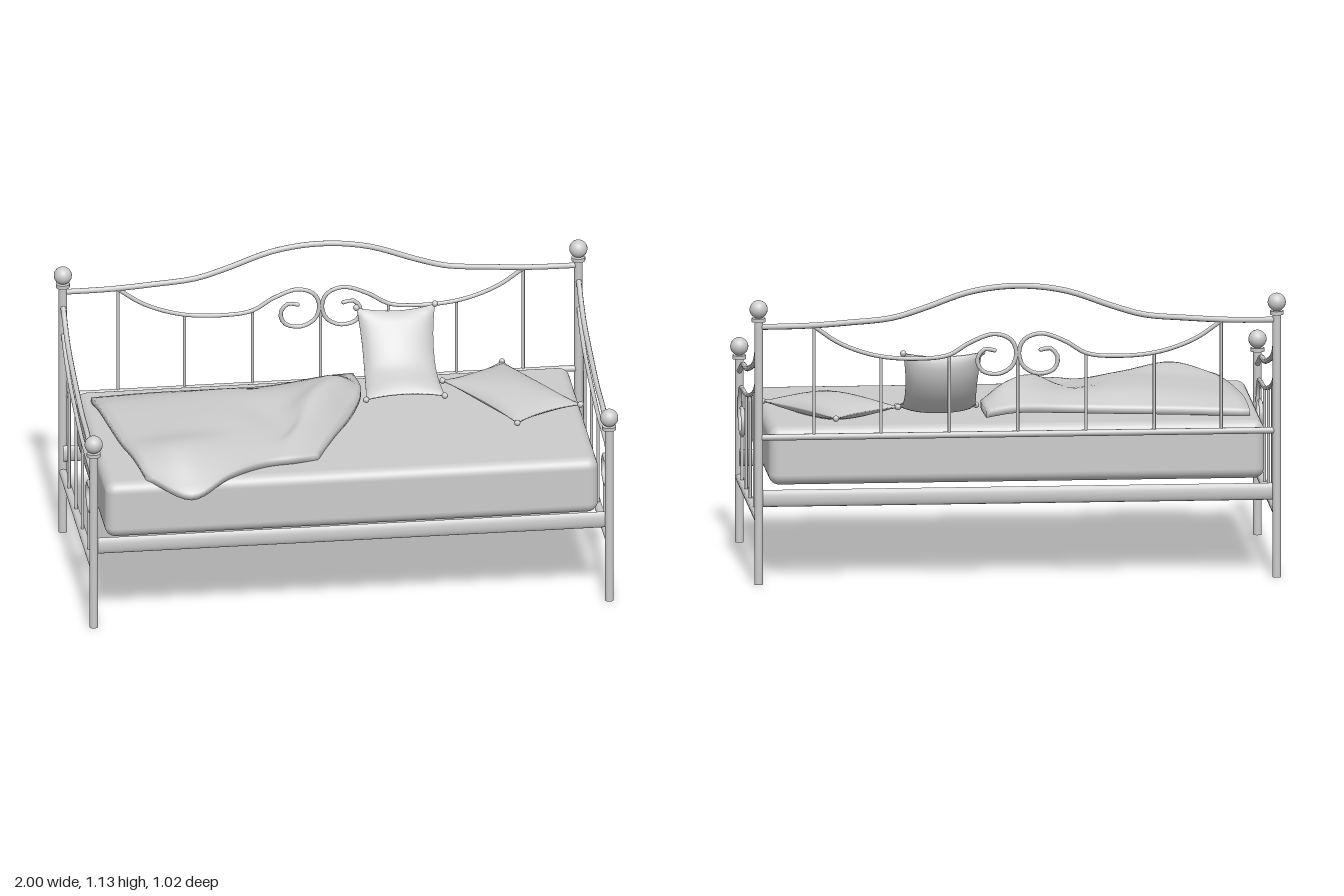
import * as THREE from 'three';
import { RoundedBoxGeometry } from 'three/addons/geometries/RoundedBoxGeometry.js';

const V = (x, y, z) => new THREE.Vector3(x, y, z);
const material = new THREE.MeshStandardMaterial({ color: 0xcccccc, side: THREE.DoubleSide });

function add(parent, name, geometry, x = 0, y = 0, z = 0) {
  const mesh = new THREE.Mesh(geometry, material);
  mesh.name = name;
  mesh.position.set(x, y, z);
  parent.add(mesh);
  return mesh;
}

// Straight round bar between two points
function bar(parent, name, a, b, r, sides = 10) {
  const d = b.clone().sub(a);
  const mesh = add(parent, name, new THREE.CylinderGeometry(r, r, d.length(), sides));
  mesh.position.copy(a).add(b).multiplyScalar(0.5);
  mesh.quaternion.setFromUnitVectors(V(0, 1, 0), d.normalize());
}

// Bent round bar through points, with rounded tip at its first point
function bentBar(parent, name, points, r) {
  const curve = new THREE.CatmullRomCurve3(points);
  add(parent, name, new THREE.TubeGeometry(curve, points.length * 4, r, 8));
  add(parent, name + 'Tip', new THREE.SphereGeometry(r, 8, 6), ...points[0].toArray());
}

// Closed skin from two (n+1) x (m+1) sheets given by f(u, v, side), side = +1 top, -1 bottom
function shell(n, m, f) {
  const pos = [], idx = [], count = (n + 1) * (m + 1);
  for (const side of [1, -1])
    for (let j = 0; j <= m; j++)
      for (let i = 0; i <= n; i++) pos.push(...f(i / n, j / m, side).toArray());
  const at = (i, j, s) => s * count + j * (n + 1) + i;
  const quad = (a, b, c, d) => idx.push(a, b, c, a, c, d);
  for (let j = 0; j < m; j++)
    for (let i = 0; i < n; i++) {
      quad(at(i, j, 0), at(i, j + 1, 0), at(i + 1, j + 1, 0), at(i + 1, j, 0));
      quad(at(i, j, 1), at(i + 1, j, 1), at(i + 1, j + 1, 1), at(i, j + 1, 1));
    }
  for (let i = 0; i < n; i++) {
    quad(at(i, 0, 0), at(i + 1, 0, 0), at(i + 1, 0, 1), at(i, 0, 1));
    quad(at(i + 1, m, 0), at(i, m, 0), at(i, m, 1), at(i + 1, m, 1));
  }
  for (let j = 0; j < m; j++) {
    quad(at(0, j + 1, 0), at(0, j, 0), at(0, j, 1), at(0, j + 1, 1));
    quad(at(n, j, 0), at(n, j + 1, 0), at(n, j + 1, 1), at(n, j, 1));
  }
  const g = new THREE.BufferGeometry();
  g.setAttribute('position', new THREE.Float32BufferAttribute(pos, 3));
  g.setIndex(idx);
  g.computeVertexNormals();
  return g;
}

// Cushion puffed around a centre sheet, with drawn-in sides and corner tufts
function cushion(parent, name, sheet, half) {
  const group = new THREE.Group();
  group.name = name;
  parent.add(group);
  const e = 0.01;
  add(group, name + 'Cover', shell(16, 16, (u, v, side) => {
    const a = 2 * u - 1, b = 2 * v - 1;
    const s = 0.5 + 0.5 * a * (1 - 0.1 * (1 - b * b));
    const t = 0.5 + 0.5 * b * (1 - 0.1 * (1 - a * a));
    const du = sheet(s + e, t).sub(sheet(s - e, t));
    const dv = sheet(s, t + e).sub(sheet(s, t - e));
    const puff = half * Math.pow((1 - a * a) * (1 - b * b), 0.6) + 0.003;
    return sheet(s, t).addScaledVector(dv.cross(du).normalize(), side * puff);
  }));
  for (const u of [0, 1])
    for (const v of [0, 1])
      add(group, name + 'Tuft', new THREE.SphereGeometry(0.012, 8, 6), ...sheet(u, v).toArray());
}

export function createModel() {
  const model = new THREE.Group();
  const PX = 0.967, BZ = -0.48, FZ = 0.41;

  // Posts with collars and ball finials
  for (const x of [-PX, PX])
    for (const [z, h] of [[BZ, 1.0], [FZ, 0.7]]) {
      const post = new THREE.Group();
      post.name = z < 0 ? 'backPost' : 'frontPost';
      post.position.set(x, 0, z);
      model.add(post);
      add(post, 'postShaft', new THREE.CylinderGeometry(0.016, 0.016, h, 16), 0, h / 2, 0);
      add(post, 'postCollar', new THREE.CylinderGeometry(0.026, 0.026, 0.014, 16), 0, h, 0);
      add(post, 'postBall', new THREE.SphereGeometry(0.034, 20, 14), 0, h + 0.04, 0);
    }

  // Long bed rails, oval in section
  for (const [name, z] of [['frontRail', 0.395], ['backRail', -0.466]]) {
    const rail = add(model, name, new THREE.CylinderGeometry(0.032, 0.032, 2 * PX, 16), 0, 0.322, z);
    rail.rotation.z = Math.PI / 2;
    rail.scale.z = 0.4;
  }

  // Backrest: arch, lower rail, spindles and scrolls
  const back = new THREE.Group();
  back.name = 'backrest';
  model.add(back);
  const half = [[-0.96, 0.973], [-0.79, 0.975], [-0.63, 0.985], [-0.47, 1.0], [-0.36, 1.032], [-0.176, 1.095]];
  bentBar(back, 'backArch', [...half, [0, 1.115], ...half.slice().reverse().map(([x, y]) => [-x, y])]
    .map(([x, y]) => V(x, y, BZ)), 0.011);
  bar(back, 'backLowerRail', V(-PX, 0.555, BZ), V(PX, 0.555, BZ), 0.012);
  const scroll = [[0.086, 0.872], [0.123, 0.877], [0.15, 0.842], [0.134, 0.797], [0.072, 0.783], [0.02, 0.813],
    [0.005, 0.866], [0.025, 0.912], [0.086, 0.934], [0.176, 0.904], [0.257, 0.857], [0.36, 0.845],
    [0.52, 0.857], [0.66, 0.905], [0.76, 0.972]];
  bar(back, 'backSpindle', V(0, 0.555, BZ), V(0, 0.87, BZ), 0.006, 8);
  for (const s of [-1, 1]) {
    bentBar(back, 'backScroll', scroll.map(([x, y]) => V(s * x, y, BZ)), 0.008);
    for (const [x, top] of [[0.255, 0.857], [0.51, 0.857], [0.76, 0.972]])
      bar(back, 'backSpindle', V(s * x, 0.555, BZ), V(s * x, top, BZ), 0.006, 8);
  }

  // Arm sides: swooping top rail, scrolled rail, bottom rail and spindles
  const armTop = [[0.41, 0.645], [0.242, 0.702], [0.078, 0.716], [-0.1, 0.752], [-0.34, 0.822], [-0.475, 0.918]];
  const armScroll = [[0.307, 0.525], [0.262, 0.526], [0.235, 0.487], [0.248, 0.444], [0.295, 0.426], [0.361, 0.45],
    [0.388, 0.5], [0.382, 0.552], [0.348, 0.594], [0.257, 0.606], [0.087, 0.615], [-0.1, 0.648],
    [-0.293, 0.698], [-0.4, 0.75], [-0.475, 0.81]];
  for (const s of [-1, 1]) {
    const arm = new THREE.Group();
    arm.name = s > 0 ? 'leftArm' : 'rightArm';
    model.add(arm);
    const x = s * PX;
    bentBar(arm, 'armTopRail', armTop.map(([z, y]) => V(x, y, z)), 0.01);
    bentBar(arm, 'armScroll', armScroll.map(([z, y]) => V(x, y, z)), 0.008);
    bar(arm, 'armBottomRail', V(x, 0.245, FZ), V(x, 0.245, BZ), 0.015, 12);
    for (const [z, top] of [[0.278, 0.426], [0.087, 0.615], [-0.1, 0.648], [-0.293, 0.698]])
      bar(arm, 'armSpindle', V(x, 0.245, z), V(x, top, z), 0.006, 8);
  }

  // Mattress
  add(model, 'mattress', new RoundedBoxGeometry(1.85, 0.22, 0.895, 4, 0.04), 0, 0.475, -0.005);

  // Blanket: rows run from the back edge to the front, the right columns forming the turned-back fold
  const rows = [
    [[-0.88, 0.605, -0.33], [-0.65, 0.615, -0.325], [-0.4, 0.62, -0.315], [-0.21, 0.625, -0.31], [0, 0.635, -0.35], [0.11, 0.625, -0.385]],
    [[-0.87, 0.63, -0.2], [-0.65, 0.65, -0.2], [-0.4, 0.665, -0.2], [-0.18, 0.66, -0.18], [0.03, 0.69, -0.22], [0.115, 0.635, -0.2]],
    [[-0.85, 0.635, -0.02], [-0.62, 0.66, 0], [-0.4, 0.67, 0], [-0.22, 0.645, 0], [-0.05, 0.705, -0.08], [0.06, 0.61, -0.06]],
    [[-0.83, 0.635, 0.13], [-0.62, 0.66, 0.15], [-0.4, 0.66, 0.15], [-0.21, 0.635, 0.13], [-0.13, 0.665, 0.09], [-0.02, 0.605, 0.1]],
    [[-0.8, 0.635, 0.28], [-0.64, 0.675, 0.32], [-0.45, 0.65, 0.28], [-0.27, 0.63, 0.24], [-0.18, 0.64, 0.22], [-0.07, 0.605, 0.21]],
    [[-0.77, 0.61, 0.41], [-0.61, 0.56, 0.505], [-0.46, 0.605, 0.43], [-0.315, 0.61, 0.35], [-0.2, 0.61, 0.33], [-0.11, 0.605, 0.305]],
  ].map(r => new THREE.CatmullRomCurve3(r.map(p => V(...p))));
  add(model, 'blanket', shell(30, 30, (u, v, side) => {
    const p = new THREE.CatmullRomCurve3(rows.map(r => r.getPoint(u))).getPoint(v);
    if (side < 0) p.y -= 0.025;
    return p;
  }));

  // Cushion leaning on the backrest, slumping forward at its foot
  const lean = new THREE.CatmullRomCurve3([V(0, 0.86, -0.45), V(0, 0.75, -0.4), V(0, 0.65, -0.31), V(0, 0.61, -0.165)]);
  cushion(model, 'leaningCushion', (u, v) => {
    const t = THREE.MathUtils.clamp(v, 0, 1);
    return lean.getPoint(t).addScaledVector(lean.getTangent(t), (v - t) * 0.4).setX(0.13 + 0.295 * u);
  }, 0.04);

  // Cushion lying flat
  const [a, b, c, d] = [V(0.43, 0.625, -0.27), V(0.675, 0.615, -0.44), V(0.66, 0.61, 0.12), V(0.915, 0.61, -0.02)];
  cushion(model, 'flatCushion', (u, v) =>
    a.clone().lerp(b, u).lerp(c.clone().lerp(d, u), v), 0.042);

  return model;
}
